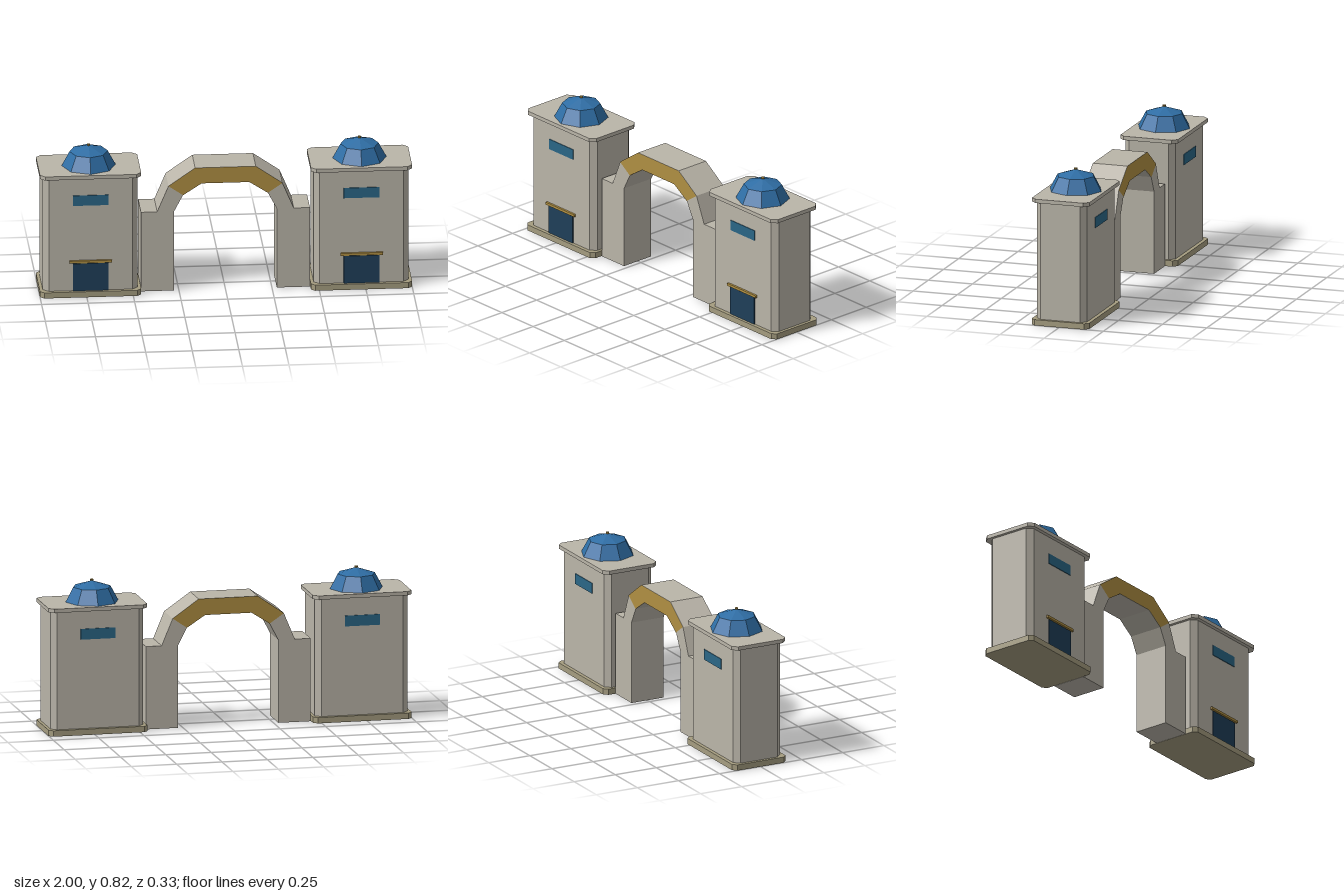
import * as THREE from 'three';

const mat = (name, color) => {
  const m = new THREE.MeshStandardMaterial({ color });
  m.name = name;
  return m;
};

export function createModel() {
  const stone = mat('stone', 0xbab5a9);
  const plinthStone = mat('plinth stone', 0xa59d80);
  const gold = mat('gold', 0xb08f42);
  const domeBlue = mat('dome blue', 0x2f6ea5);
  const glass = mat('window blue', 0x2a6686);
  const doorBlue = mat('door blue', 0x1f3f59);

  const model = new THREE.Group();
  model.name = 'gateway';

  const add = (parent, name, geometry, material, x = 0, y = 0, z = 0) => {
    const mesh = new THREE.Mesh(geometry, material);
    mesh.name = name;
    mesh.position.set(x, y, z);
    parent.add(mesh);
    return mesh;
  };
  const polygon = (pts) => new THREE.Shape(pts.map(([x, y]) => new THREE.Vector2(x, y)));
  const faceted = (geometry) => {
    const g = geometry.toNonIndexed();
    g.computeVertexNormals();
    return g;
  };

  // Upright block with chamfered corners, standing on y = 0
  const chamferedBlock = (w, d, h, c) => {
    const shape = polygon([
      [-w + c, -d], [w - c, -d], [w, -d + c], [w, d - c],
      [w - c, d], [-w + c, d], [-w, d - c], [-w, -d + c],
    ]);
    return new THREE.ExtrudeGeometry(shape, { depth: h, bevelEnabled: false }).rotateX(-Math.PI / 2);
  };

  // Two matching towers
  for (const side of [-1, 1]) {
    const tower = new THREE.Group();
    tower.name = side > 0 ? 'leftTower' : 'rightTower';
    tower.position.x = side * 0.728;
    model.add(tower);

    add(tower, 'plinth', chamferedBlock(0.272, 0.163, 0.032, 0.022), plinthStone);
    add(tower, 'body', chamferedBlock(0.255, 0.142, 0.645, 0.03), stone, 0, 0.032);
    add(tower, 'cornice', chamferedBlock(0.272, 0.163, 0.021, 0.027), stone, 0, 0.677);

    // Faceted dome and its small finial
    const dome = new THREE.SphereGeometry(0.145, 8, 2, 0, Math.PI * 2, 0, Math.PI / 2).scale(1, 0.775, 1);
    add(tower, 'dome', faceted(dome), domeBlue, 0, 0.698);
    add(tower, 'finial', faceted(new THREE.CylinderGeometry(0.009, 0.009, 0.008, 8)), gold, 0, 0.814);

    // Door, lintel, and a window on each face
    add(tower, 'door', new THREE.BoxGeometry(0.192, 0.156, 0.006), doorBlue, 0, 0.11, 0.145);
    add(tower, 'lintel', new THREE.BoxGeometry(0.228, 0.014, 0.012), gold, 0, 0.199, 0.148);
    for (const z of [-0.143, 0.143]) {
      add(tower, z > 0 ? 'frontWindow' : 'backWindow',
        new THREE.BoxGeometry(0.192, 0.058, 0.006), glass, 0, 0.549, z);
    }
  }

  // Arch: right half of each outline, mirrored to the other side
  const mirrored = (pts) => [...pts, ...pts.slice().reverse().map(([x, y]) => [-x, y])];
  const outerCrown = [[0.306, 0.6], [0.163, 0.7]];
  const innerCrown = [[0.228, 0.546], [0.128, 0.611]];
  const outer = mirrored([[0.454, 0], [0.454, 0.454], [0.367, 0.454], ...outerCrown]);
  const inner = mirrored([[0.276, 0], [0.276, 0.454], ...innerCrown]);
  const arch = new THREE.ExtrudeGeometry(polygon([...outer, ...inner.reverse()]),
    { depth: 0.196, bevelEnabled: false });
  add(model, 'arch', arch, stone, 0, 0, -0.098);

  // Gold band on both faces of the crown
  const band = polygon([...mirrored(outerCrown), ...mirrored(innerCrown).reverse()]);
  add(model, 'frontBand', new THREE.ShapeGeometry(band), gold, 0, 0, 0.0995);
  add(model, 'backBand', new THREE.ShapeGeometry(band), gold, 0, 0, -0.0995).rotation.y = Math.PI;

  return model;
}
